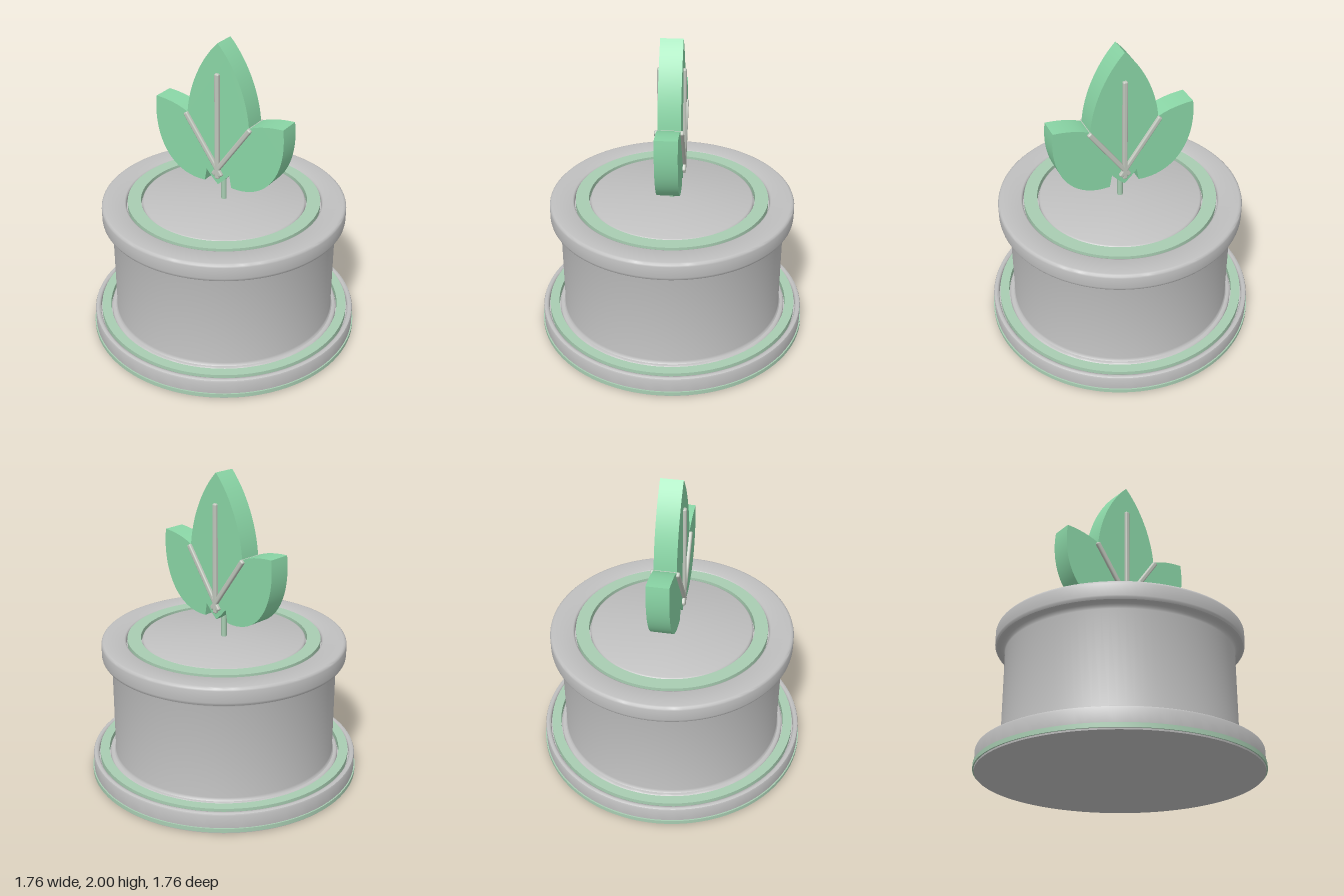
import * as THREE from 'three';
import { toCreasedNormals, mergeVertices } from 'three/addons/utils/BufferGeometryUtils.js';
import { RoundedBoxGeometry } from 'three/addons/geometries/RoundedBoxGeometry.js';

const mat = (name, color) => {
  const m = new THREE.MeshStandardMaterial({ color });
  m.name = name;
  return m;
};

export function createModel() {
  const grey = mat('stone grey', 0xc0c0c0);
  const sage = mat('sage inlay', 0xa8cdb2);
  const leafGreen = mat('leaf green', 0x8ad6a6);
  const veinGrey = mat('vein grey', 0xc0c6bc);
  const model = new THREE.Group();
  model.name = 'plantOnPedestal';

  const add = (name, geometry, material, parent = model) => {
    const mesh = new THREE.Mesh(geometry, material);
    mesh.name = name;
    parent.add(mesh);
    return mesh;
  };
  // Turned part from [radius, height] pairs, listed from the bottom up
  const turned = (name, profile, material) => add(name, toCreasedNormals(
    new THREE.LatheGeometry(profile.map(([r, y]) => new THREE.Vector2(r, y)), 96), 0.7), material);
  const ring = (name, r0, r1, y0, y1, material) =>
    turned(name, [[r0, y0], [r1, y0], [r1, y1], [r0, y1], [r0, y0]], material);

  // Base plate with a groove for its inlay
  turned('base', [
    [0, 0], [0.87, 0], [0.872, 0.01], [0.872, 0.12], [0.868, 0.13], [0.858, 0.135],
    [0.848, 0.135], [0.84, 0.131], [0.836, 0.123], [0.836, 0.10], [0.76, 0.10],
    [0.76, 0.123], [0.756, 0.131], [0.748, 0.135], [0.72, 0.135],
  ], grey);
  ring('baseBand', 0.86, 0.88, 0.01, 0.037, sage);
  ring('baseInlay', 0.767, 0.828, 0.10, 0.143, sage);

  // Drum with small fillets at both ends
  turned('drum', [
    [0.735, 0.133], [0.727, 0.141], [0.724, 0.155], [0.724, 0.77],
    [0.728, 0.785], [0.737, 0.796], [0.752, 0.80],
  ], grey);

  // Cap with rounded rim and a groove for its inlay
  turned('cap', [
    [0.70, 0.80], [0.765, 0.80], [0.778, 0.804], [0.785, 0.815], [0.787, 0.825],
    [0.787, 0.90], [0.784, 0.91], [0.776, 0.918], [0.765, 0.92],
    [0.64, 0.92], [0.632, 0.916], [0.628, 0.908], [0.628, 0.88], [0.526, 0.88],
    [0.526, 0.908], [0.522, 0.916], [0.514, 0.92], [0, 0.92],
  ], grey);
  ring('capInlay', 0.535, 0.62, 0.88, 0.926, sage);

  // Stem
  const plant = new THREE.Group();
  plant.name = 'plant';
  model.add(plant);
  add('stem', new THREE.CylinderGeometry(0.018, 0.018, 0.24, 16), sage, plant).position.y = 1.01;

  // Three joined leaves: right half of the outline, then its mirror image
  const half = new THREE.Path();
  half.moveTo(0, 2);
  half.bezierCurveTo(0.12, 1.88, 0.21, 1.69, 0.226, 1.5);
  half.bezierCurveTo(0.28, 1.53, 0.37, 1.55, 0.463, 1.553);
  half.bezierCurveTo(0.50, 1.29, 0.38, 1.03, 0.10, 1.055);
  half.lineTo(0.085, 1.14);
  half.quadraticCurveTo(0.045, 1.09, 0, 1.053);
  const right = half.getPoints(20);
  const left = right.slice(1, -1).reverse().map((p) => new THREE.Vector2(-p.x, p.y));
  const leaves = new THREE.ExtrudeGeometry(new THREE.Shape([...right, ...left]),
    { depth: 0.14, bevelEnabled: false });
  leaves.translate(0, 0, -0.07);
  add('leaves', toCreasedNormals(leaves, 0.5), leafGreen, plant);

  // Veins run through the leaves and stand proud on both faces
  const vein = (name, x0, y0, x1, y1) => {
    const length = Math.hypot(x1 - x0, y1 - y0);
    const bar = add(name, new RoundedBoxGeometry(0.032, length, 0.18, 3, 0.01), veinGrey, plant);
    bar.position.set((x0 + x1) / 2, (y0 + y1) / 2, 0);
    bar.rotation.z = -Math.atan2(x1 - x0, y1 - y0);
  };
  vein('middleVein', 0, 1.097, 0, 1.81);
  for (const s of [1, -1]) vein(s > 0 ? 'leftVein' : 'rightVein', -0.03 * s, 1.12, 0.237 * s, 1.498);

  return model;
}
